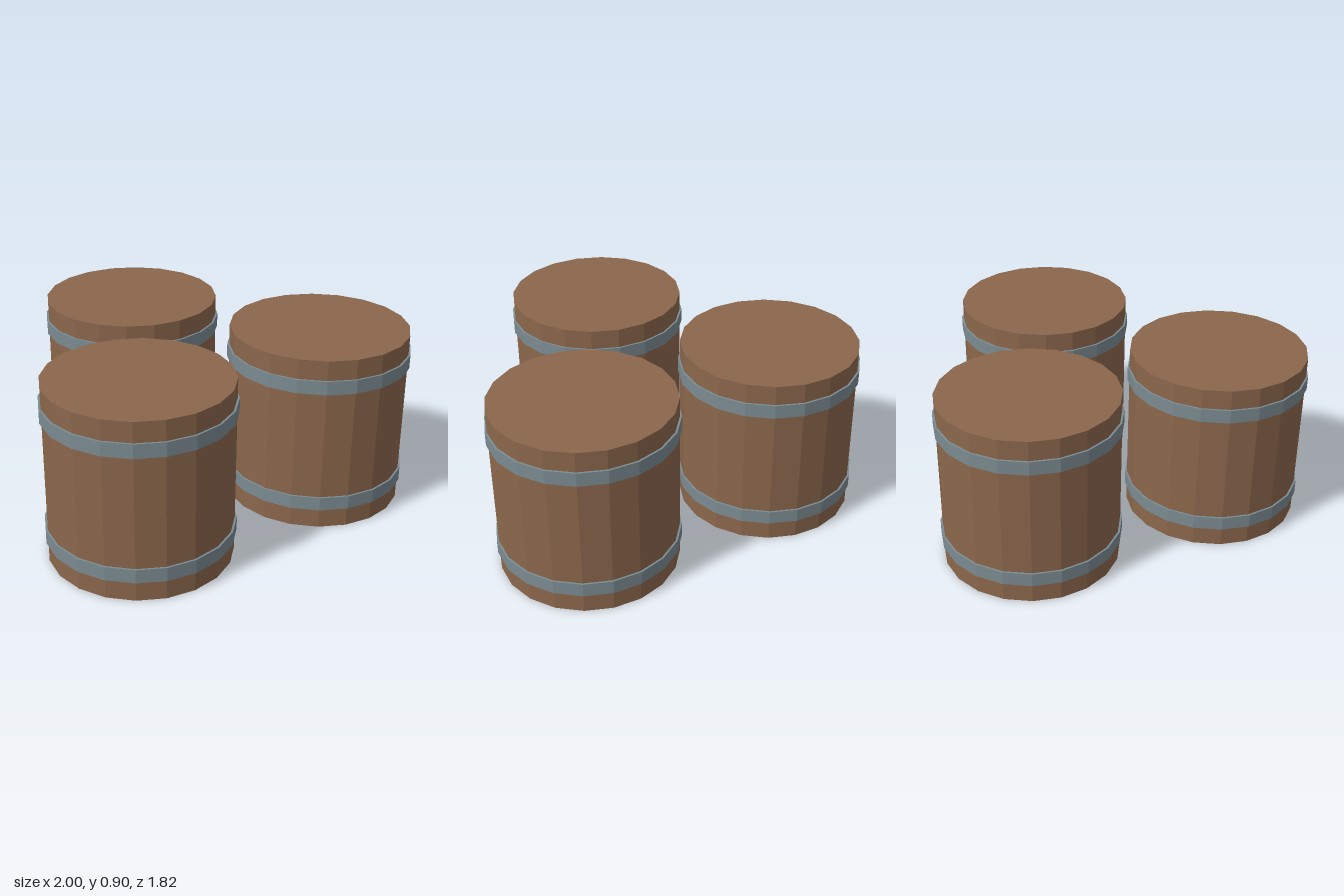
import * as THREE from 'three';

const SIDES = 20;
const BODY_RADIUS = 0.45;
const BAND_RADIUS = 0.46;
const HEIGHT = 0.9;

export function createModel() {
  const wood = new THREE.MeshStandardMaterial({ color: 0x8b674c, flatShading: true });
  wood.name = 'wood';
  const iron = new THREE.MeshStandardMaterial({ color: 0x7b8b91, flatShading: true });
  iron.name = 'iron';

  const bodyGeometry = new THREE.CylinderGeometry(BODY_RADIUS, BODY_RADIUS, HEIGHT, SIDES);

  // Hoop: rectangular cross-section, solid across the wood
  const bandGeometry = new THREE.CylinderGeometry(BAND_RADIUS, BAND_RADIUS, 0.07, SIDES);

  // One barrel: wooden body and two iron hoops
  function makeBarrel(name, x, z) {
    const barrel = new THREE.Group();
    barrel.name = name;
    barrel.position.set(x, 0, z);

    const body = new THREE.Mesh(bodyGeometry, wood);
    body.name = 'barrelBody';
    body.position.y = HEIGHT / 2;
    barrel.add(body);

    for (const [bandName, y] of [['lowerBand', 0.135], ['upperBand', 0.765]]) {
      const band = new THREE.Mesh(bandGeometry, iron);
      band.name = bandName;
      band.position.y = y;
      barrel.add(band);
    }
    return barrel;
  }

  // Three barrels in a triangle
  const model = new THREE.Group();
  model.name = 'barrelCluster';
  model.add(
    makeBarrel('leftBarrel', 0.54, 0.45),
    makeBarrel('rightBarrel', -0.54, 0.45),
    makeBarrel('backBarrel', 0, -0.45),
  );
  return model;
}
